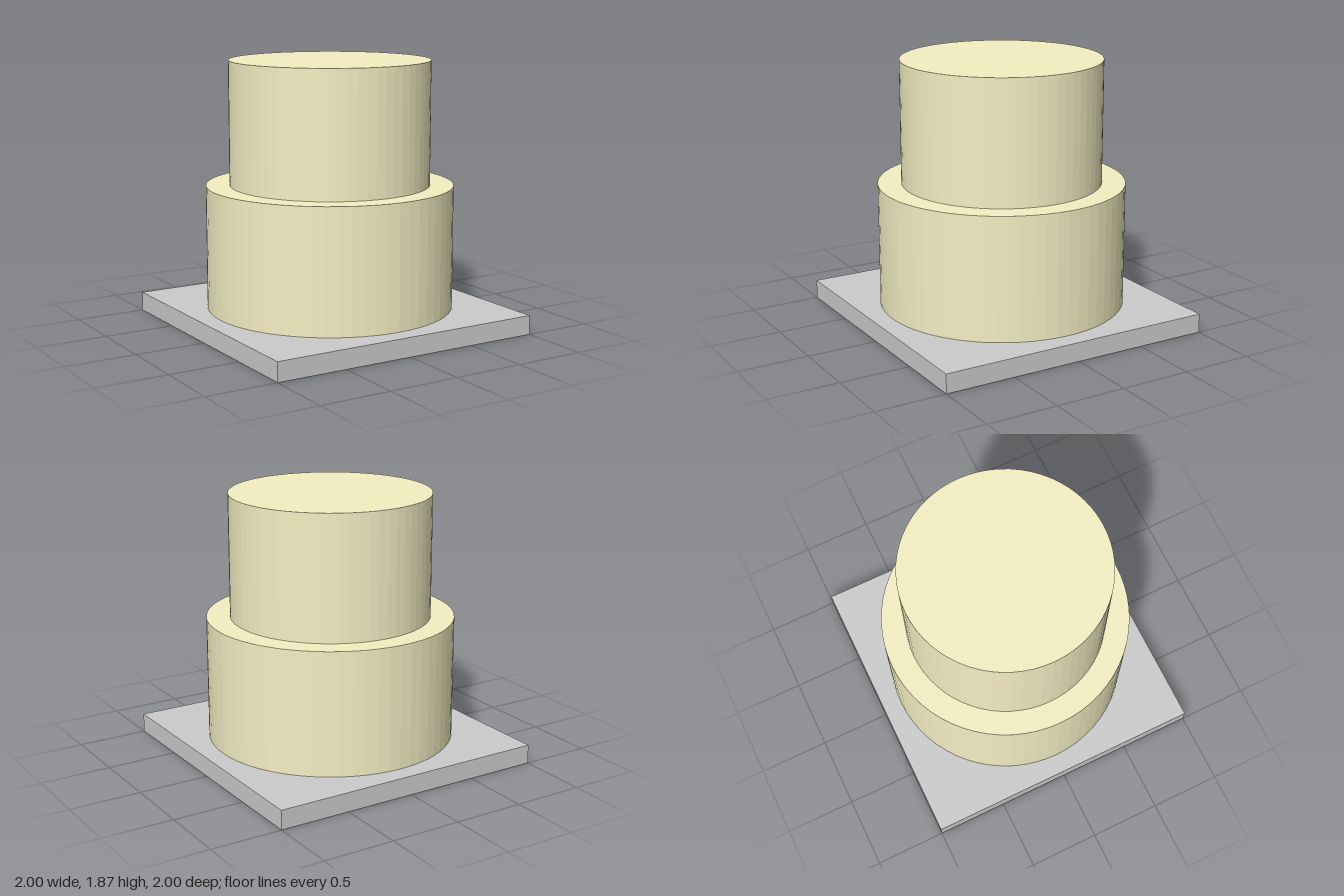
import * as THREE from 'three';

export function createModel() {
  const model = new THREE.Group();
  model.name = 'tieredCylinders';

  const grey = new THREE.MeshStandardMaterial({ color: 0xcccccc });
  const cream = new THREE.MeshStandardMaterial({ color: 0xf5efc3, flatShading: true });

  const baseHeight = 0.135;
  const tierHeight = 0.868;

  // Square base slab
  const base = new THREE.Mesh(new THREE.BoxGeometry(2, baseHeight, 2), grey);
  base.name = 'base';
  base.position.y = baseHeight / 2;
  model.add(base);

  // Two stacked round tiers
  const tiers = [['lowerTier', 0.865], ['upperTier', 0.7]];
  tiers.forEach(([name, radius], i) => {
    const tier = new THREE.Mesh(new THREE.CylinderGeometry(radius, radius, tierHeight, 64), cream);
    tier.name = name;
    tier.position.y = baseHeight + tierHeight * (i + 0.5);
    model.add(tier);
  });

  return model;
}
